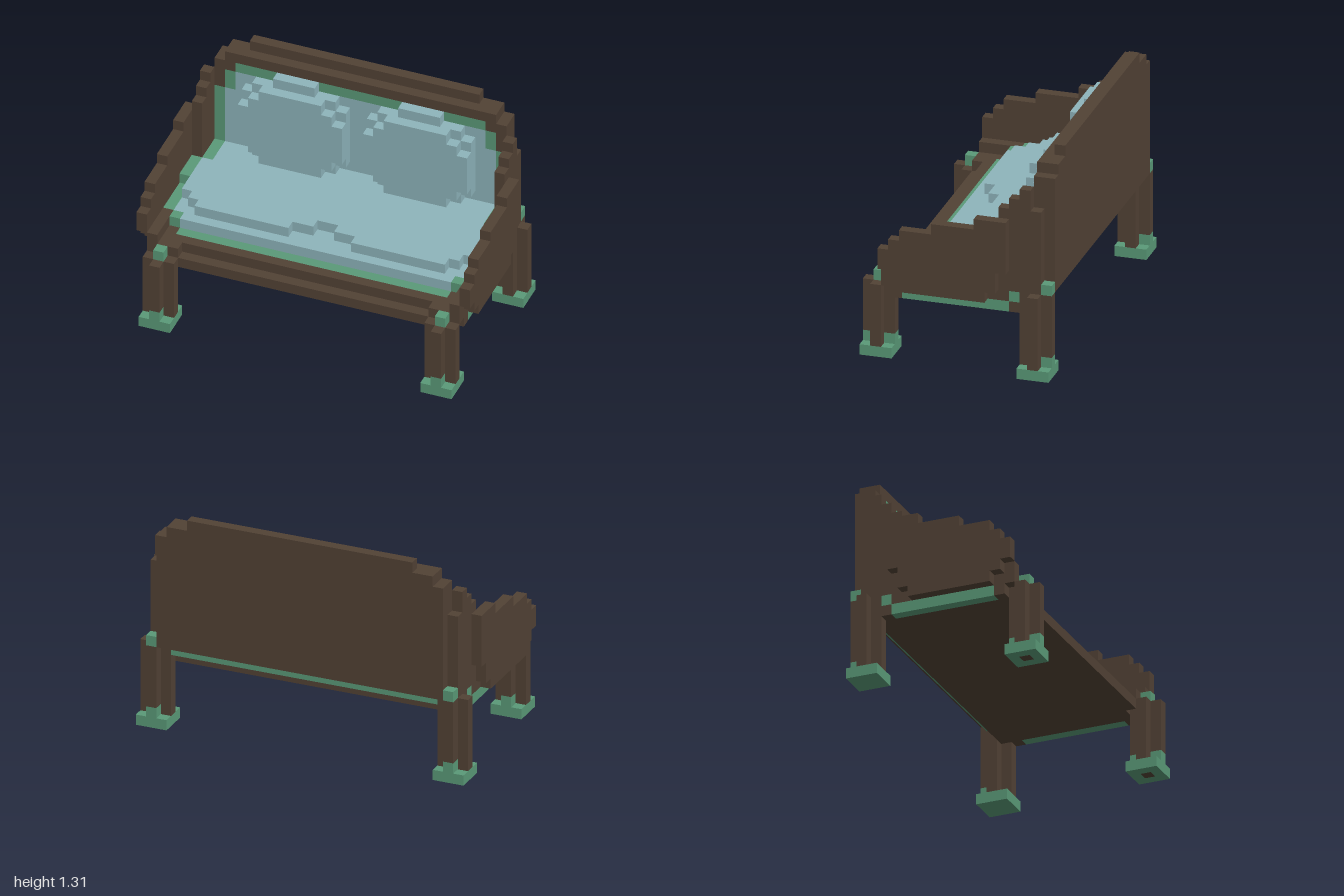
import * as THREE from 'three';

const U = 1 / 16; // size of one block

export function createModel() {
  const model = new THREE.Group();
  model.name = 'bench';
  const mat = (name, color) => {
    const m = new THREE.MeshStandardMaterial({ color });
    m.name = name;
    return m;
  };
  const wood = mat('brown wood', 0x524235);
  const trim = mat('green trim', 0x5a9a78);
  const cloth = mat('blue cloth', 0x8eb4bb);

  // Box from block ranges
  const box = (name, m, x0, x1, y0, y1, z0, z1) => {
    const mesh = new THREE.Mesh(
      new THREE.BoxGeometry((x1 - x0) * U, (y1 - y0) * U, (z1 - z0) * U), m);
    mesh.position.set((x0 + x1) / 2 * U, (y0 + y1) / 2 * U, (z0 + z1) / 2 * U);
    mesh.name = name;
    model.add(mesh);
  };
  // Box centred on x = 0
  const mid = (name, m, w, ...r) => box(name, m, -w, w, ...r);
  // Box on both sides
  const pair = (name, m, x0, x1, ...r) => {
    box(name + 'Left', m, x0, x1, ...r);
    box(name + 'Right', m, -x1, -x0, ...r);
  };

  // Seat base and front rails
  mid('seatBase', wood, 14, 6, 7, -7, 6);
  mid('seatDeck', wood, 14, 7, 8, -7, 4);
  mid('seatFrontTrim', trim, 13, 7, 8, 4, 5);
  pair('seatFrontCorner', wood, 13, 14, 7, 8, 4, 5);
  mid('upperFrontRail', wood, 14, 7, 8, 5, 6);
  mid('lowerFrontRail', wood, 12, 6, 7, 6, 7);
  pair('railEnd', wood, 12, 14, 7, 8, 6, 7);
  pair('sideTrim', trim, 14, 15, 6, 7, -5, 5);
  mid('backTrim', trim, 13, 7, 8, -8, -7);
  pair('sideFrontBlock', wood, 14, 15, 6, 7, 5, 6);
  pair('sideRearBlock', wood, 14, 15, 6, 7, -6, -5);
  pair('sideRearTrim', trim, 14, 15, 7, 8, -6, -5);

  // Green border around the seat cushion
  pair('borderRear', trim, 13, 14, 8, 10, -7, -4);
  pair('borderSideSupport', wood, 14, 15, 7, 8, -4, 3);
  pair('borderSideHigh', trim, 14, 15, 8, 10, -4, -1);
  pair('borderSideLow', trim, 14, 15, 8, 9, -1, 3);
  pair('borderCorner', trim, 13, 14, 8, 9, 3, 4);

  // Seat cushion: lower layer, then upper layer with a stepped front edge
  mid('cushionLower', cloth, 13, 8, 9, -7, 4);
  pair('cushionLowerSide', cloth, 13, 14, 8, 9, -4, 3);
  mid('cushionUpper', cloth, 13, 9, 10, -7, 1);
  pair('cushionUpperSide', cloth, 13, 14, 9, 10, -4, 1);
  pair('cushionStepInner', cloth, 1, 3, 9, 10, 1, 2);
  pair('cushionStepMain', cloth, 3, 12, 9, 10, 1, 3);
  pair('cushionStepOuter', cloth, 12, 13, 9, 10, 1, 2);

  // Backrest: rear boards, then the framed and padded front layer
  mid('backBoard', wood, 14, 8, 19, -9, -8);
  mid('backTop', wood, 13, 19, 20, -9, -7);
  mid('backCrest', wood, 11, 20, 21, -9, -8);
  pair('backRimSide', wood, 13, 14, 16, 19, -8, -7);
  pair('backRimCorner', wood, 12, 13, 18, 19, -8, -7);
  mid('backTrimTop', trim, 12, 18, 19, -8, -7);
  pair('backTrimCorner', trim, 12, 13, 16, 18, -8, -7);
  pair('backTrimSide', trim, 13, 14, 8, 16, -8, -7);
  mid('backPad', cloth, 12, 8, 18, -8, -7);
  pair('backPadSide', cloth, 12, 13, 8, 16, -8, -7);

  // Pillows with stepped corners
  pair('pillowBack', cloth, 2, 10, 10, 18, -7, -6);
  pair('pillowBackWide', cloth, 1, 11, 11, 17, -7, -6);
  pair('pillowTop', cloth, 4, 8, 18, 19, -7, -6);
  [[3, 9, 10, 18], [2, 10, 11, 17], [1, 11, 12, 16]].forEach(([a, b, c, d], i) =>
    pair('pillowFront' + i, cloth, a, b, c, d, -6, -5));

  // Arms: outer panel as columns of z start, z end, bottom, top
  [[-5, -4, 10, 15], [-4, -3, 8, 15], [-3, -2, 7, 15], [-2, 2, 7, 14],
    [2, 5, 7, 13], [5, 6, 8, 12], [6, 7, 9, 11]].forEach(([z0, z1, y0, y1], i) =>
    pair('armPanel' + i, wood, 15, 16, y0, y1, z0, z1));
  pair('armFrontBlock', wood, 14, 15, 7, 9, 3, 7);

  // Stepped posts joining arms and back
  [[-8, -7, 1, 16], [-7, -6, 1, 18], [-6, -5, 8, 17], [-5, -4, 7, 16]]
    .forEach(([z0, z1, y0, y1], i) => pair('rearPost' + i, wood, 14, 15, y0, y1, z0, z1));

  // Rear legs
  pair('rearFoot', trim, 13, 16, 0, 1, -9, -6);
  pair('rearLegOuter', wood, 15, 16, 1, 8, -8, -7);
  pair('rearLegInner', wood, 13, 14, 1, 8, -8, -7);
  pair('rearLegCuff', trim, 14, 15, 1, 2, -9, -8);
  pair('rearLegBack', wood, 14, 15, 2, 8, -9, -8);
  pair('rearLegKnob', trim, 14, 15, 8, 9, -9, -8);

  // Front legs, the core running through the foot
  pair('frontFootFront', trim, 12, 15, 0, 1, 8, 9);
  pair('frontFootRear', trim, 12, 15, 0, 1, 6, 7);
  pair('frontLegCore', wood, 13, 14, 0, 7, 7, 8);
  pair('frontLegKnob', trim, 13, 14, 7, 8, 7, 8);
  for (const x of [12, 14]) {
    pair('frontFootSide' + x, trim, x, x + 1, 0, 1, 7, 8);
    pair('frontLegSide' + x, wood, x, x + 1, 1, 7, 7, 8);
  }
  for (const z of [6, 8]) {
    pair('frontLegCuff' + z, trim, 13, 14, 1, 2, z, z + 1);
    pair('frontLegPost' + z, wood, 13, 14, 2, 7, z, z + 1);
  }
  return model;
}
